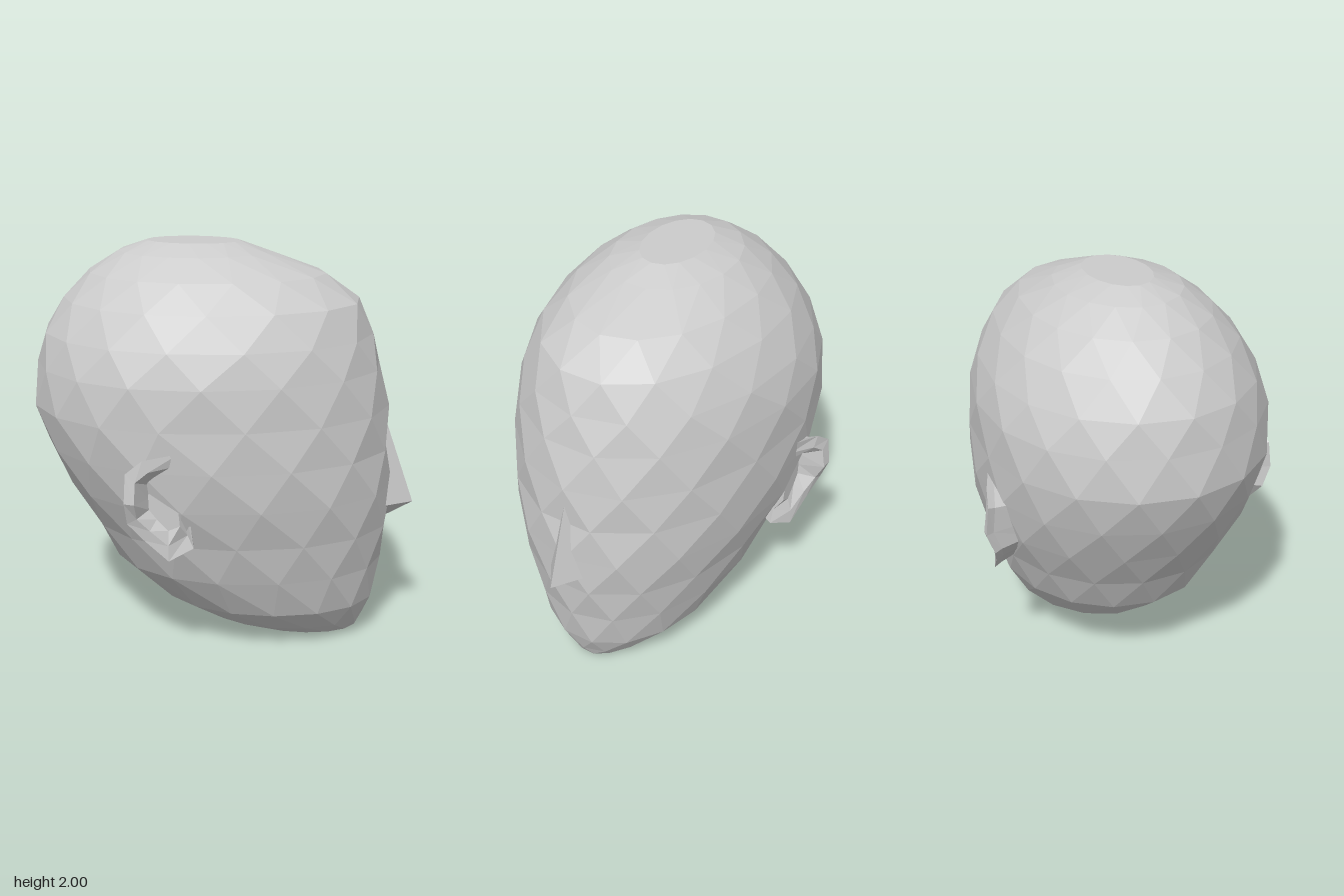
import * as THREE from 'three';

const material = new THREE.MeshStandardMaterial({ color: 0xcccccc, flatShading: true, side: THREE.DoubleSide });

// Skin over a stack of closed rings; staggered rings are joined by zig-zag triangles.
function loft(name, rings, staggered) {
  const n = rings[0].length;
  const pos = rings.flat(2);
  const index = [];
  for (let k = 0; k < rings.length - 1; k++) {
    for (let i = 0; i < n; i++) {
      const j = (i + 1) % n;
      const a = k * n + i, a2 = k * n + j, b = a + n, b2 = a2 + n;
      if (staggered && k % 2) index.push(a, b2, a2, a, b, b2);
      else index.push(a, b, a2, a2, b, b2);
    }
  }
  // end caps
  const top = (rings.length - 1) * n;
  for (let i = 1; i < n - 1; i++) index.push(0, i, i + 1, top, top + i + 1, top + i);
  return mesh(name, pos, index);
}

function mesh(name, pos, index) {
  let g = new THREE.BufferGeometry();
  g.setAttribute('position', new THREE.Float32BufferAttribute(pos, 3));
  g.setIndex(index);
  g = g.toNonIndexed();
  g.computeVertexNormals();
  const m = new THREE.Mesh(g, material);
  m.name = name;
  return m;
}

// Skull and jaw: height, widest position, front reach, back reach, half width
const LEVELS = [
  [0.0, 0.47, 0.68, 0.32, 0.09],
  [0.02, 0.45, 0.75, 0.15, 0.18],
  [0.08, 0.35, 0.78, -0.02, 0.28],
  [0.2, 0.25, 0.83, -0.26, 0.41],
  [0.4, 0.1, 0.86, -0.5, 0.515],
  [0.6, 0.03, 0.89, -0.61, 0.58],
  [0.8, -0.05, 0.905, -0.73, 0.65],
  [1.0, -0.1, 0.886, -0.836, 0.685],
  [1.2, -0.15, 0.875, -0.905, 0.69],
  [1.4, -0.15, 0.832, -0.88, 0.68],
  [1.56, -0.12, 0.786, -0.845, 0.63],
  [1.72, -0.12, 0.723, -0.743, 0.54],
  [1.85, -0.1, 0.55, -0.62, 0.425],
  [1.95, -0.1, 0.27, -0.47, 0.29],
  [2.0, -0.1, 0.13, -0.33, 0.15],
];

function skull() {
  const sides = 16;
  const rings = LEVELS.map(([y, c, front, back, w], k) =>
    Array.from({ length: sides }, (_, i) => {
      const a = ((i + (k % 2) / 2) / sides) * Math.PI * 2;
      const reach = Math.cos(a) > 0 ? front - c : c - back;
      return [c + 1.01 * reach * Math.cos(a), y, 1.01 * w * Math.sin(a)];
    }));
  return loft('skull', rings, true);
}

// Nose: a slim pyramid; bridge, tip, two nostril corners and the underside point
function nose() {
  const pos = [0.87, 1.13, 0, 1.02, 0.7, 0, 0.86, 0.7, 0.11, 0.86, 0.7, -0.11, 0.875, 0.615, 0];
  return mesh('nose', pos, [0, 2, 1, 0, 1, 3, 1, 2, 4, 1, 4, 3]);
}

// Ear rim: forward, height, sideways
const RIM = [
  [-0.06, 1.1, 0.67], [-0.22, 1.08, 0.74], [-0.296, 1.02, 0.765], [-0.3, 0.88, 0.78],
  [-0.295, 0.77, 0.74], [-0.22, 0.68, 0.71], [-0.11, 0.57, 0.68], [0.0, 0.62, 0.62],
  [-0.026, 0.85, 0.64], [-0.037, 1.0, 0.665],
];

function ear(name, side) {
  const order = side > 0 ? [...RIM].reverse() : RIM;
  // each ring: scale about the ear centre, then sideways position
  const ring = (s, depth) => order.map(([f, y, l]) =>
    [-0.12 + (f + 0.12) * s, 0.86 + (y - 0.86) * s, side * depth(l)]);
  return loft(name, [
    ring(0.75, () => 0.52),
    ring(0.92, (l) => l - 0.04),
    ring(1, (l) => l),
    ring(0.74, (l) => l - 0.005),
    ring(0.5, () => 0.655),
  ], false);
}

export function createModel() {
  const head = new THREE.Group();
  head.name = 'head';
  head.add(skull(), nose(), ear('rightEar', 1), ear('leftEar', -1));
  // the head is turned to look off to one side
  head.rotation.y = THREE.MathUtils.degToRad(23.25);
  head.position.set(-0.029, 0, -0.067);

  const model = new THREE.Group();
  model.name = 'model';
  model.add(head);
  return model;
}
